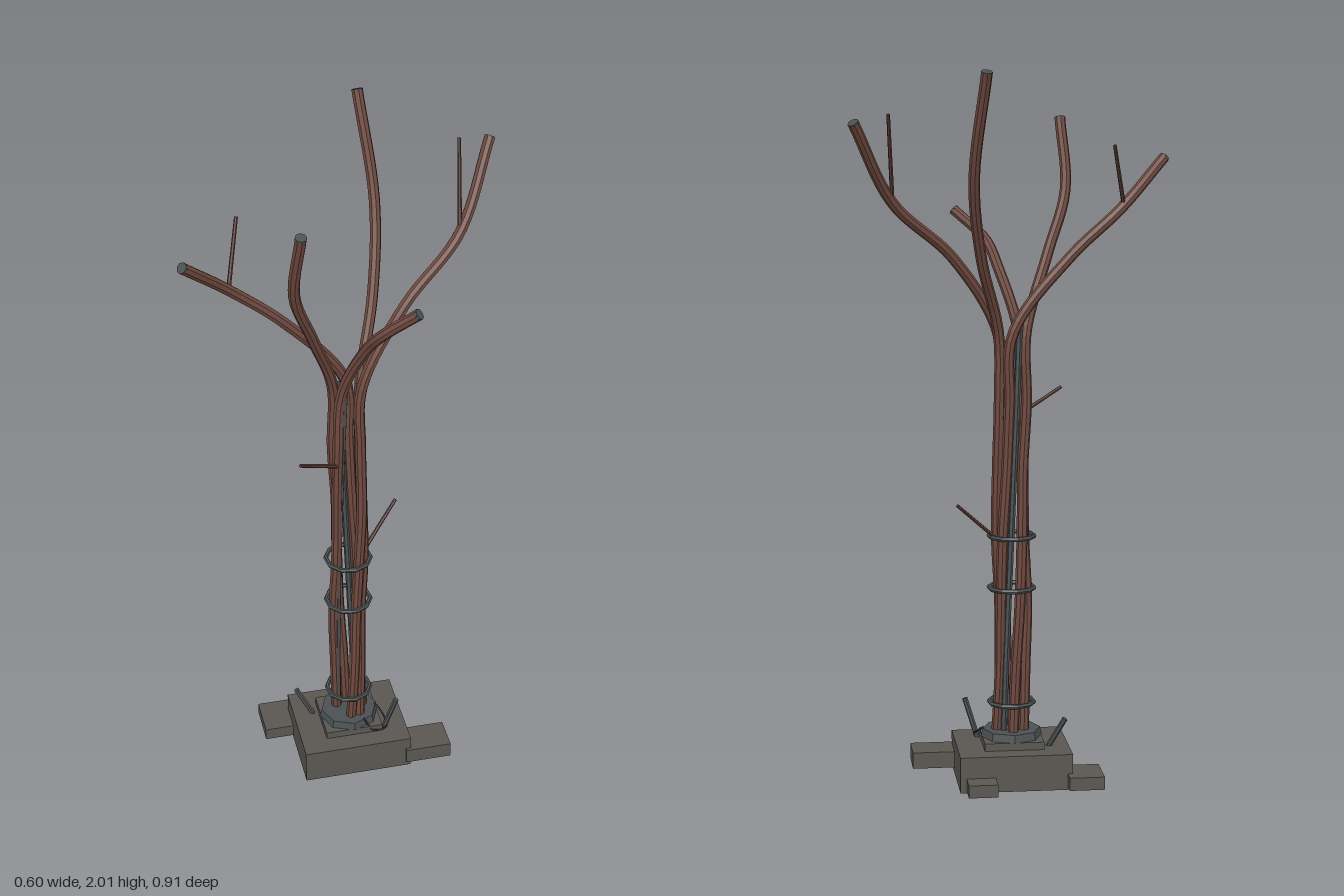
import * as THREE from 'three';

export function createModel() {
  const root = new THREE.Group();
  const mat = (name, color) => {
    const m = new THREE.MeshStandardMaterial({ color, flatShading: true });
    m.name = name;
    return m;
  };
  const rust = mat('rust brown', 0x6e493f);
  const darkRust = mat('dark rust', 0x5a3c36);
  const stone = mat('concrete grey', 0x5a5751);
  const steel = mat('steel grey', 0x4b5153);
  const navy = mat('wire blue', 0x2c3048);

  const V = (p) => new THREE.Vector3(...p);
  const CZ = 0.05; // trunk axis is at x = 0, z = CZ

  function add(parent, name, geo, material, pos = [0, 0, 0]) {
    const m = new THREE.Mesh(geo, material);
    m.name = name;
    m.position.set(...pos);
    parent.add(m);
    return m;
  }

  // straight tapered rod between two points
  function rod(name, a, b, r0, r1, material) {
    const A = V(a), B = V(b), d = B.clone().sub(A);
    const mid = A.add(B).multiplyScalar(0.5);
    const m = add(root, name, new THREE.CylinderGeometry(r1, r0, d.length(), 6), material, mid.toArray());
    m.quaternion.setFromUnitVectors(new THREE.Vector3(0, 1, 0), d.normalize());
  }

  // ---- base: rotated footing, side slabs, plate and collar ----
  const base = new THREE.Group();
  base.name = 'base';
  base.position.z = CZ;
  base.rotation.y = -0.76;
  root.add(base);
  const slabs = [
    // name, x, z, width, depth, bottom, top
    ['footing', 0, 0, 0.276, 0.32, 0, 0.103],
    ['rightSlab', 0.097, -0.213, 0.1, 0.136, 0.018, 0.065],
    ['leftSlab', -0.118, 0.195, 0.122, 0.1, 0.01, 0.047],
    ['backSlab', -0.145, -0.101, 0.112, 0.083, 0.006, 0.042],
    ['basePlate', 0, 0, 0.165, 0.17, 0.103, 0.125],
  ];
  for (const [name, x, z, w, d, y0, y1] of slabs) {
    add(base, name, new THREE.BoxGeometry(w, y1 - y0, d), stone, [x, (y0 + y1) / 2, z]);
  }
  add(base, 'collar', new THREE.CylinderGeometry(0.083, 0.088, 0.022, 8), steel, [0, 0.136, 0]);

  // ---- bundled rods: twisted trunk strand that opens into a branch ----
  const branches = [
    { end: 0.75, top: [-0.6], pts: [[0.085, 1.5, -0.1], [0.143, 1.655, -0.28], [0.133, 1.87, -0.44]] },
    { top: [-1.25], pts: [[-0.018, 1.5, -0.1], [-0.078, 1.72, -0.2], [-0.172, 2.0, -0.258]] },
    { top: [-2.35], pts: [[-0.125, 1.5, 0.155], [-0.207, 1.63, 0.275], [-0.235, 1.77, 0.44]] },
    { top: [2.5], pts: [[-0.022, 1.5, 0.18], [-0.012, 1.68, 0.273], [0.04, 1.88, 0.313]] },
    { top: [1.4], pts: [[0.09, 1.46, 0.1], [0.155, 1.54, 0.118], [0.247, 1.62, 0.09]] },
  ];
  branches.forEach(({ top, pts }, i) => {
    const path = [];
    for (let k = 0; k <= 6; k++) {
      const t = k / 6;
      const a = top[0] + (1 - t) * 1.4;
      const r = 0.04 + 0.004 * Math.sin(k * 2.1 + i);
      path.push(new THREE.Vector3(Math.cos(a) * r, 0.13 + t * 1.16, CZ + Math.sin(a) * r));
    }
    path.push(...pts.map(V));
    const curve = new THREE.CatmullRomCurve3(path, false, 'centripetal');
    add(root, 'branchRod' + (i + 1), new THREE.TubeGeometry(curve, 60, 0.0155, 8), rust);
    // cut end
    const tip = add(root, 'cutEnd' + (i + 1), new THREE.CylinderGeometry(0.0155, 0.0155, 0.006, 8), steel,
      curve.getPoint(1).toArray());
    tip.quaternion.setFromUnitVectors(new THREE.Vector3(0, 1, 0), curve.getTangent(1));
  });

  // thin steel strands woven between the rods
  for (let i = 0; i < 3; i++) {
    const path = [];
    for (let k = 0; k <= 6; k++) {
      const a = i * 2.094 + 0.6 - k * 0.25;
      path.push(new THREE.Vector3(Math.cos(a) * 0.032, 0.13 + k * 0.195, CZ + Math.sin(a) * 0.032));
    }
    add(root, 'innerStrand' + (i + 1),
      new THREE.TubeGeometry(new THREE.CatmullRomCurve3(path), 30, 0.009, 6), steel);
  }

  // ---- binding rings ----
  [0.225, 0.56, 0.71].forEach((y, i) => {
    const g = new THREE.TorusGeometry(0.064, 0.007, 6, 10).rotateX(Math.PI / 2);
    add(root, 'bindingRing' + (i + 1), g, steel, [0, y, CZ]);
  });

  // ---- twigs and base pegs ----
  rod('trunkTwigFront', [0.005, 1.05, 0.085], [-0.035, 1.12, 0.228], 0.006, 0.005, darkRust);
  rod('trunkTwigBack', [0.02, 0.71, 0], [0.04, 0.818, -0.137], 0.006, 0.005, darkRust);
  rod('branchTwigBack', [0.14, 1.67, -0.285], [0.09, 1.893, -0.352], 0.006, 0.005, darkRust);
  rod('branchTwigFront', [-0.213, 1.65, 0.28], [-0.24, 1.808, 0.203], 0.006, 0.005, darkRust);
  rod('leftPeg', [0.112, 0.1, 0.03], [0.146, 0.215, 0.014], 0.008, 0.008, steel);
  rod('rightPeg', [-0.1, 0.1, 0.094], [-0.146, 0.186, 0.114], 0.008, 0.008, steel);

  // loose wire on the base
  const wire = new THREE.CatmullRomCurve3([[0.06, 0.15, 0.0], [0.09, 0.13, 0.005], [0.123, 0.11, 0.03],
    [0.1, 0.11, 0.065], [0.07, 0.15, 0.075]].map(V));
  add(root, 'looseWire', new THREE.TubeGeometry(wire, 20, 0.003, 5), navy);

  return root;
}
